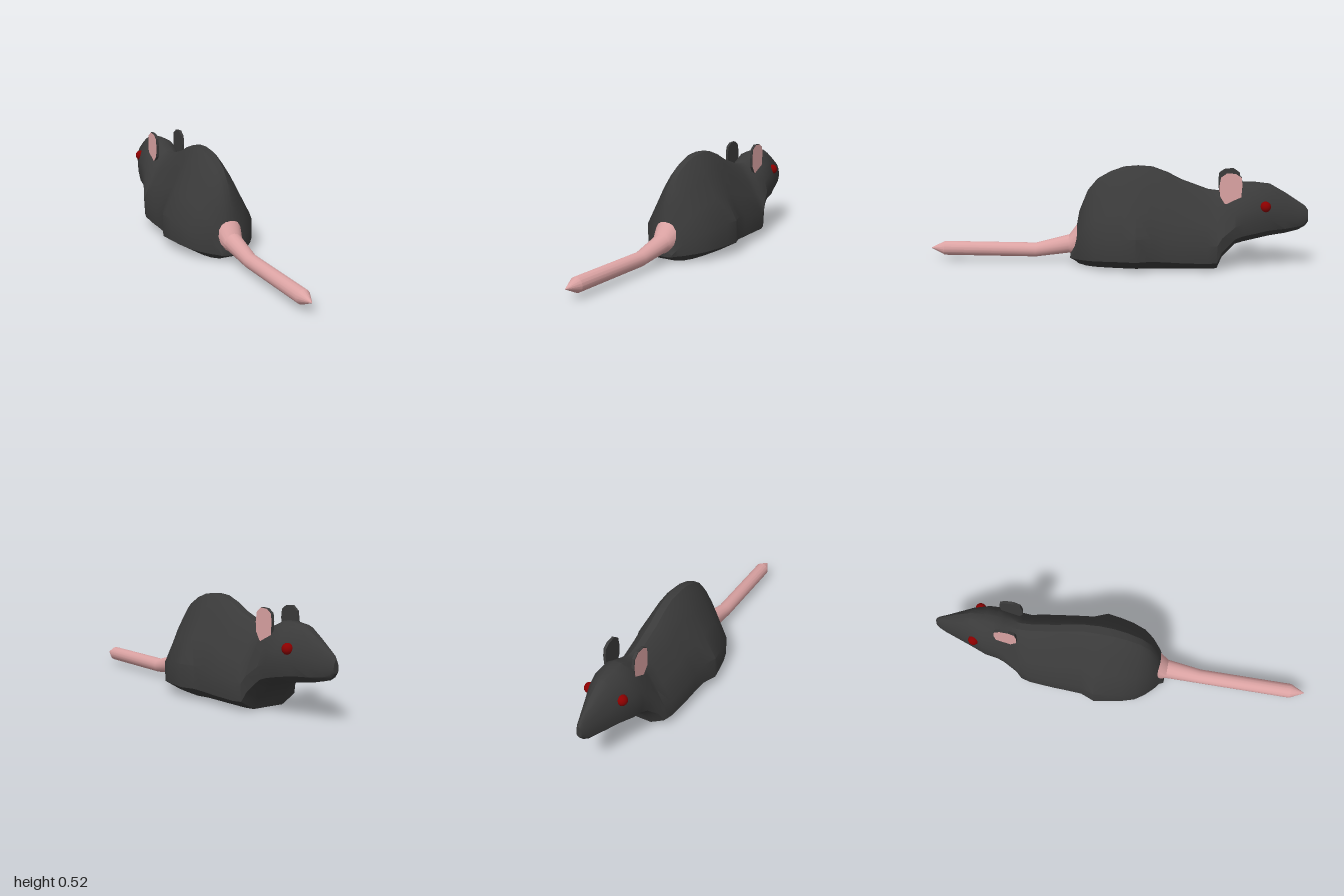
import * as THREE from 'three';
import { toCreasedNormals } from 'three/addons/utils/BufferGeometryUtils.js';

const fur = new THREE.MeshStandardMaterial({ color: 0x3a3a3a });
const skin = new THREE.MeshStandardMaterial({ color: 0xdba3a3 });
const red = new THREE.MeshStandardMaterial({ color: 0x8b0000 });

// Skins a list of rings, running from +z to -z, each counterclockwise seen from +z
function loft(rings, crease) {
  const n = rings[0].length;
  const pos = rings.flat().flatMap(p => [p.x, p.y, p.z]);
  const index = [];
  for (let i = 0; i < rings.length - 1; i++) {
    for (let j = 0; j < n; j++) {
      const a = i * n + j, b = i * n + (j + 1) % n;
      index.push(a, a + n, b, b, a + n, b + n);
    }
  }
  const last = (rings.length - 1) * n;
  for (let j = 1; j < n - 1; j++) {
    index.push(0, j, j + 1, last, last + j + 1, last + j);
  }
  const g = new THREE.BufferGeometry();
  g.setAttribute('position', new THREE.Float32BufferAttribute(pos, 3));
  g.setIndex(index);
  return toCreasedNormals(g, crease);
}

function add(parent, name, geometry, material) {
  const mesh = new THREE.Mesh(geometry, material);
  mesh.name = name;
  parent.add(mesh);
  return mesh;
}

// Half outlines from belly to back: [width factor, height factor]
const trunkOutline = [[0.55, 0], [1, 0.11], [1, 0.34], [0.7, 0.58], [0.44, 0.79], [0.21, 0.945], [0.09, 1]];
const headOutline = [[0.45, 0], [0.9, 0.13], [1, 0.35], [0.93, 0.55], [0.74, 0.76], [0.42, 0.94], [0.15, 1]];

// Body stations: z, bottom, top, half width, blend from trunk to head outline
const stations = [
  [0.24, 0.03, 0.07, 0.06, 0], [0.215, 0.015, 0.17, 0.075, 0.4], [0.195, 0.005, 0.28, 0.105, 0.3],
  [0.15, 0, 0.39, 0.15, 0.1], [0.1, 0, 0.45, 0.185, 0], [0.03, 0, 0.49, 0.208, 0],
  [-0.04, 0, 0.515, 0.222, 0], [-0.115, 0, 0.522, 0.234, 0], [-0.19, 0, 0.517, 0.205, 0.05],
  [-0.27, 0, 0.488, 0.2, 0.1], [-0.34, 0, 0.452, 0.196, 0.1], [-0.48, 0, 0.402, 0.184, 0.15],
  [-0.53, 0.002, 0.396, 0.172, 0.25], [-0.555, 0.06, 0.398, 0.16, 0.5], [-0.62, 0.128, 0.422, 0.142, 0.8],
  [-0.66, 0.14, 0.442, 0.133, 1], [-0.72, 0.155, 0.443, 0.127, 1], [-0.8, 0.172, 0.435, 0.096, 1],
  [-0.88, 0.183, 0.39, 0.064, 1], [-0.95, 0.2, 0.345, 0.038, 1], [-0.985, 0.22, 0.322, 0.024, 1],
  [-1, 0.24, 0.3, 0.015, 1],
];

function bodyRing([z, bottom, top, half, blend]) {
  const right = trunkOutline.map(([w, h], i) => new THREE.Vector3(
    half * THREE.MathUtils.lerp(w, headOutline[i][0], blend),
    bottom + (top - bottom) * THREE.MathUtils.lerp(h, headOutline[i][1], blend), z));
  const left = right.map(p => new THREE.Vector3(-p.x, p.y, p.z)).reverse();
  return [...right, ...left];
}

// Tail stations: z, centre height, half width, half height, backward lean of the top
const tailStations = [
  [1, 0.063, 0.002, 0.002, 0], [0.925, 0.063, 0.038, 0.038, 0], [0.43, 0.063, 0.038, 0.038, 0],
  [0.25, 0.1, 0.05, 0.05, 0], [0.205, 0.13, 0.067, 0.095, 0.01], [0.15, 0.15, 0.05, 0.06, 0],
];

function tailRing([z, y, rx, ry, lean]) {
  return Array.from({ length: 16 }, (_, i) => {
    const a = i / 16 * Math.PI * 2;
    return new THREE.Vector3(rx * Math.cos(a), y + ry * Math.sin(a), z - lean * Math.sin(a));
  });
}

// Rounded ear outline in the z-y plane, extruded along x
function earShape(scale) {
  const points = [[-0.03, -0.08], [0.015, -0.085], [0.055, -0.045], [0.06, 0.02], [0.055, 0.06], [0.025, 0.08],
    [-0.02, 0.083], [-0.052, 0.06], [-0.06, 0.01], [-0.055, -0.04]];
  return new THREE.Shape(points.map(([u, v]) => new THREE.Vector2(u * scale, v * scale)));
}

export function createModel() {
  const model = new THREE.Group();
  model.name = 'rat';
  add(model, 'body', loft(stations.map(bodyRing), 0.55), fur);
  add(model, 'tail', loft(tailStations.map(tailRing), 0.5), skin);

  for (const side of [1, -1]) {
    const label = side > 0 ? 'left' : 'right';

    // Ear: dark shell with a pink outer face
    const ear = new THREE.Group();
    ear.name = label + 'Ear';
    ear.position.set(side * 0.079, 0.42, -0.595);
    ear.rotation.y = side * Math.PI / 2;
    const shell = new THREE.ExtrudeGeometry(earShape(1), { depth: 0.014, bevelEnabled: false });
    shell.translate(0, 0, -0.007);
    add(ear, label + 'EarShell', shell, fur);
    const inner = add(ear, label + 'EarInner', new THREE.ShapeGeometry(earShape(0.98)), skin);
    inner.position.z = 0.0085;
    model.add(ear);

    // Eye
    const eye = add(model, label + 'Eye', new THREE.SphereGeometry(0.028, 16, 12), red);
    eye.position.set(side * 0.09, 0.33, -0.773);
  }
  return model;
}
